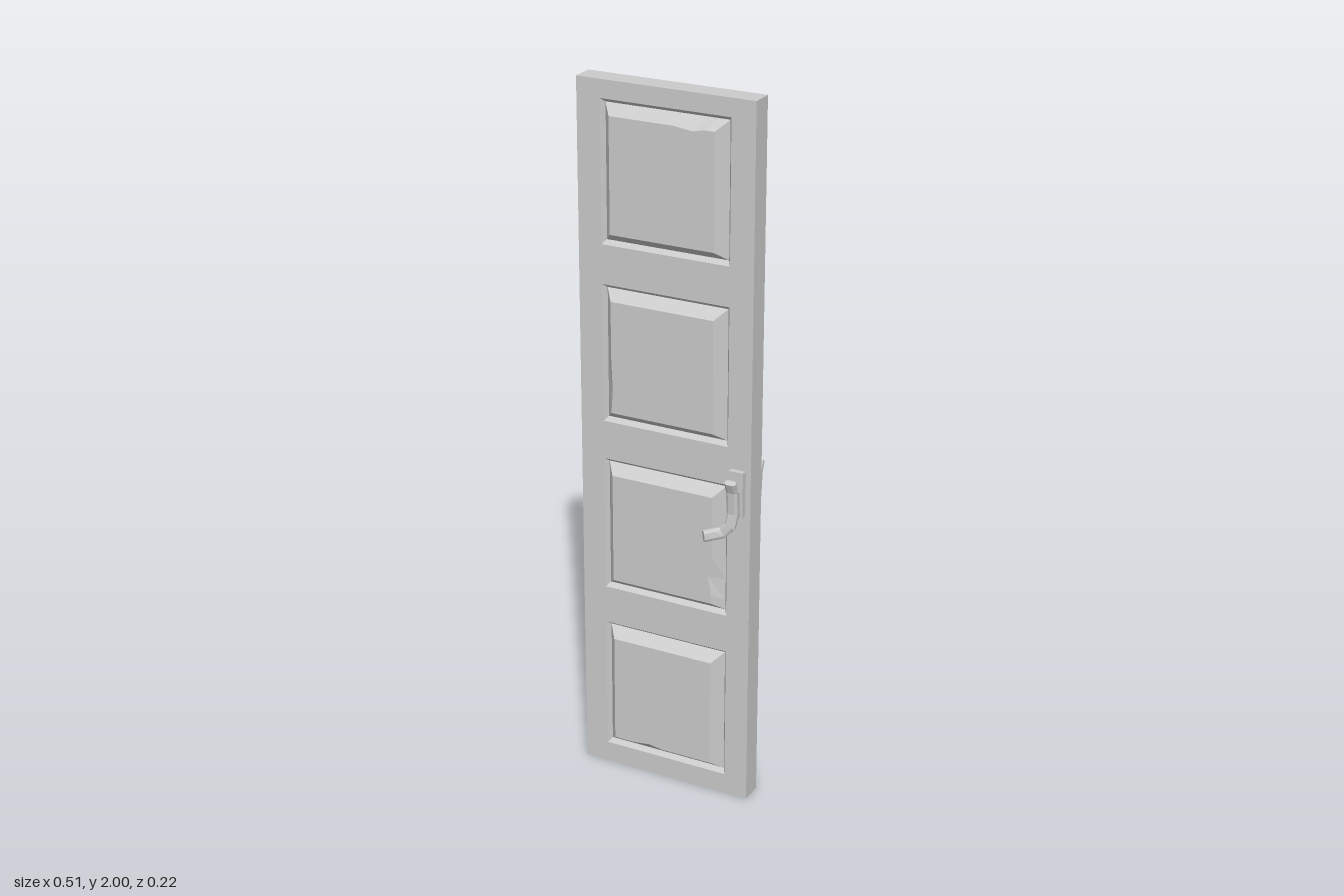
import * as THREE from 'three';

const material = new THREE.MeshStandardMaterial({ color: 0xcccccc, flatShading: true });
const V = (x, y, z) => new THREE.Vector3(x, y, z);
const T = 0.032; // half thickness of the door

// Skin a list of equal-length loops; loops run counter-clockwise about the direction of travel
function loft(loops, capStart, capEnd) {
  const pos = [];
  const tri = (...pts) => pts.forEach((p) => pos.push(p.x, p.y, p.z));
  const n = loops[0].length;
  const centre = (loop) => loop.reduce((s, p) => s.add(p), V(0, 0, 0)).divideScalar(n);
  for (let k = 0; k < loops.length - 1; k++) {
    for (let i = 0; i < n; i++) {
      const j = (i + 1) % n, a = loops[k], b = loops[k + 1];
      tri(a[i], a[j], b[j]);
      tri(a[i], b[j], b[i]);
    }
  }
  const first = loops[0], last = loops[loops.length - 1];
  for (let i = 0; i < n; i++) {
    const j = (i + 1) % n;
    if (capStart) tri(centre(first), first[j], first[i]);
    if (capEnd) tri(centre(last), last[i], last[j]);
  }
  const g = new THREE.BufferGeometry();
  g.setAttribute('position', new THREE.Float32BufferAttribute(pos, 3));
  g.computeVertexNormals();
  return g;
}

function add(parent, name, geometry, x = 0, y = 0, z = 0) {
  const mesh = new THREE.Mesh(geometry, material);
  mesh.name = name;
  mesh.position.set(x, y, z);
  parent.add(mesh);
  return mesh;
}

// Raised panel: groove wall, groove foot, bevel, flat field.
// A chip is [side (0 bottom, 1 right, 2 top, 3 left), start, middle, end, depth]
const OUTER = [0.186, 0.195];
function panelGeometry([side, t0, t1, t2, depth]) {
  const loop = (w, h, z, dent) => {
    const c = [V(-w, -h, z), V(w, -h, z), V(w, h, z), V(-w, h, z)];
    const inward = [V(0, 1, 0), V(-1, 0, 0), V(0, -1, 0), V(1, 0, 0)];
    return c.flatMap((p, s) => [0, t0, t1, t2].map((t, i) => {
      const q = p.clone().lerp(c[(s + 1) % 4], t);
      return s === side && i === 2 ? q.addScaledVector(inward[s], dent) : q;
    }));
  };
  return loft([
    loop(...OUTER, T, 0),
    loop(0.177, 0.184, 0.018, 0),
    loop(0.15, 0.158, 0.052, depth),
  ], false, true);
}

// Lever swept along a bent path with a flattened eight-sided section
function leverGeometry() {
  const path = [
    V(0.22, 0.985, 0.085), V(0.22, 0.955, 0.073), V(0.22, 0.89, 0.068), V(0.215, 0.855, 0.072),
    V(0.195, 0.832, 0.074), V(0.172, 0.826, 0.085), V(0.152, 0.824, 0.104),
  ];
  const loops = path.map((p, i) => {
    const t = path[Math.min(i + 1, path.length - 1)].clone().sub(path[Math.max(i - 1, 0)]).normalize();
    const u = V(0, 0, 1).addScaledVector(t, -t.z).normalize();
    const v = t.clone().cross(u);
    return [[1, -0.55], [1, 0.55], [0.5, 1], [-0.5, 1], [-1, 0.55], [-1, -0.55], [-0.5, -1], [0.5, -1]]
      .map(([a, b]) => p.clone().addScaledVector(u, a * 0.009).addScaledVector(v, b * 0.016));
  });
  return loft(loops, true, true);
}

export function createModel() {
  const door = new THREE.Group();
  door.name = 'door';
  const panelY = [1.755, 1.255, 0.755, 0.255];

  // Frame slab with one opening per panel
  const rect = (target, w, y0, y1) => target
    .moveTo(-w, y0).lineTo(w, y0).lineTo(w, y1).lineTo(-w, y1).closePath();
  const outline = rect(new THREE.Shape(), 0.254, 0, 2);
  panelY.forEach((y) => outline.holes.push(rect(new THREE.Path(), OUTER[0], y - OUTER[1], y + OUTER[1])));
  add(door, 'doorFrame', new THREE.ExtrudeGeometry(outline, { depth: 2 * T, bevelEnabled: false }), 0, 0, -T);

  // Small worn spots, a different one on each panel
  const chips = {
    front: [[2, 0.1, 0.2, 0.4, 0.007], [3, 0.5, 0.8, 0.95, 0.004], [1, 0.08, 0.25, 0.45, 0.01], [0, 0.2, 0.36, 0.5, 0.006]],
    back: [[2, 0.65, 0.72, 0.85, 0.006], [1, 0.6, 0.8, 0.95, 0.008], [1, 0.05, 0.15, 0.3, 0.005], [3, 0.3, 0.45, 0.6, 0.006]],
  };
  for (const face of ['front', 'back']) {
    const half = new THREE.Group();
    half.name = face + 'Side';
    if (face === 'back') half.scale.z = -1;
    panelY.forEach((y, i) => add(half, 'panel' + (i + 1), panelGeometry(chips[face][i]), 0, y, 0));

    // Handle: back plate, post and lever
    const handle = new THREE.Group();
    handle.name = 'handle';
    add(handle, 'handlePlate', new THREE.BoxGeometry(0.042, 0.13, 0.019), 0.217, 0.935, 0.0375);
    add(handle, 'handlePost', new THREE.BoxGeometry(0.027, 0.075, 0.024), 0.217, 0.91, 0.056);
    add(handle, 'handleLever', leverGeometry());
    half.add(handle);
    door.add(half);
  }
  return door;
}
